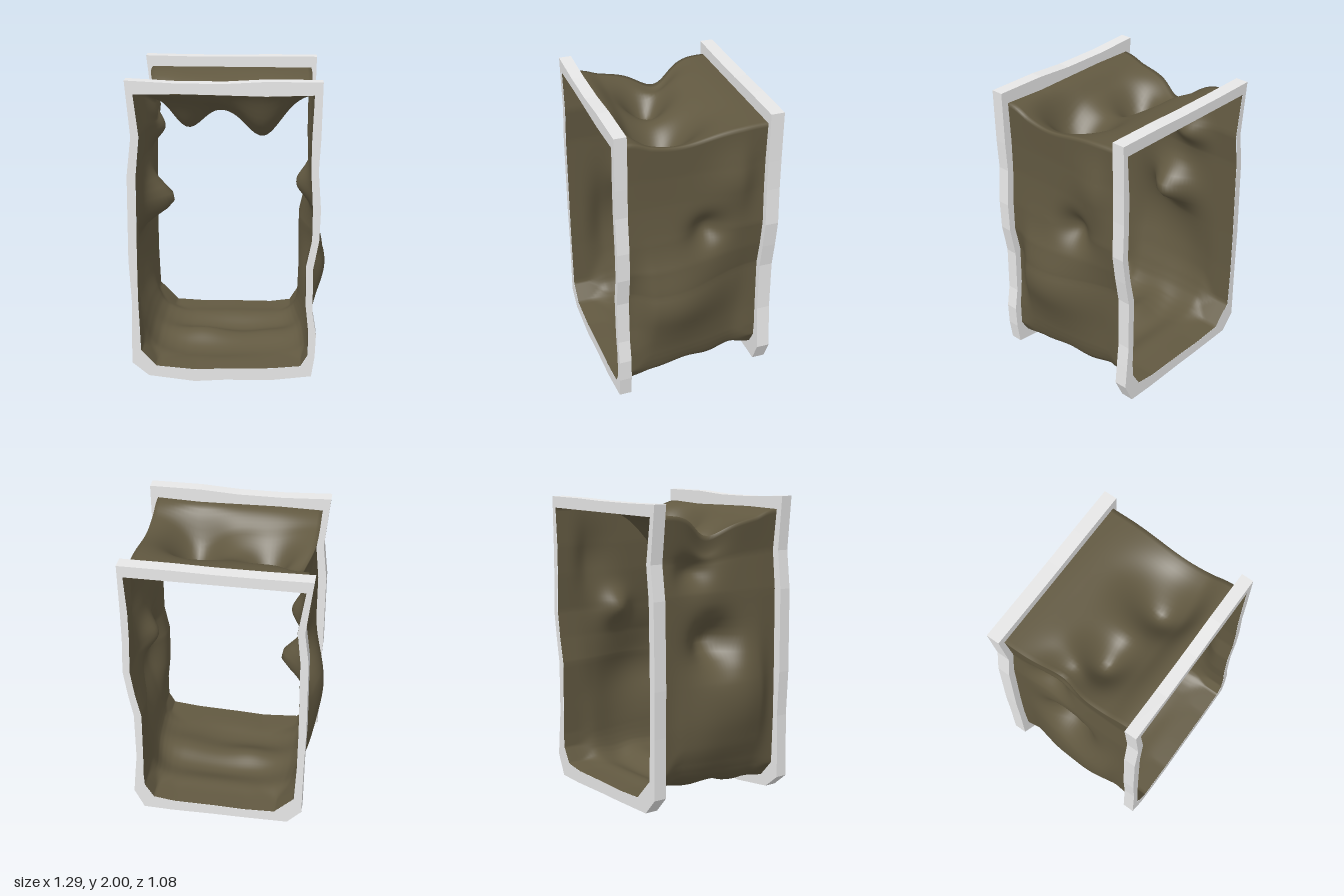
import * as THREE from 'three';

// Frame outlines, clockwise from the top -x corner: outer x, outer y, inner x, inner y
const FRONT = [
  [-0.61, 2, -0.56, 1.915], [-0.3, 1.985, -0.28, 1.92], [0, 1.985, 0, 1.915], [0.25, 2, 0.25, 1.91],
  [0.59, 2, 0.54, 1.92], [0.585, 1.65, 0.53, 1.65], [0.575, 1.45, 0.53, 1.45], [0.595, 1.2, 0.545, 1.2],
  [0.59, 1, 0.545, 1], [0.555, 0.8, 0.51, 0.82], [0.56, 0.5, 0.515, 0.55], [0.585, 0.35, 0.535, 0.37],
  [0.58, 0.2, 0.535, 0.21], [0.56, 0.06, 0.49, 0.13], [0.3, 0.025, 0.3, 0.11], [0, 0.02, 0, 0.1],
  [-0.2, 0.005, -0.2, 0.09], [-0.5, 0.04, -0.45, 0.11], [-0.61, 0.13, -0.55, 0.22],
  [-0.6, 0.55, -0.56, 0.55], [-0.615, 0.85, -0.56, 0.85], [-0.61, 1.4, -0.555, 1.4], [-0.58, 1.65, -0.53, 1.65],
];
const BACK = [
  [-0.6, 1.98, -0.555, 1.905], [-0.3, 1.975, -0.28, 1.905], [0, 1.975, 0, 1.905], [0.25, 1.98, 0.25, 1.905],
  [0.575, 1.98, 0.54, 1.905], [0.57, 1.65, 0.525, 1.65], [0.57, 1.45, 0.525, 1.45], [0.58, 1.2, 0.535, 1.2],
  [0.555, 1.02, 0.51, 1.02], [0.525, 0.85, 0.475, 0.85], [0.525, 0.5, 0.48, 0.5], [0.54, 0.35, 0.485, 0.35],
  [0.555, 0.19, 0.48, 0.25], [0.49, 0.05, 0.42, 0.15], [0.3, 0.045, 0.28, 0.13], [0, 0.05, 0, 0.13],
  [-0.2, 0.05, -0.2, 0.125], [-0.5, 0.055, -0.41, 0.135], [-0.595, 0.16, -0.54, 0.27],
  [-0.595, 0.55, -0.55, 0.55], [-0.6, 0.85, -0.55, 0.85], [-0.59, 1.4, -0.54, 1.4], [-0.56, 1.62, -0.515, 1.62],
];

// Soft dents and bulges: centre, spread, push in x and y
const DENTS = [
  { c: [0, 1.92, 0.14], s: [0.9, 0.12, 0.2], push: [0, -0.05] },         // ceiling sag
  { c: [0, 1.92, 0.09], s: [0.3, 0.15, 0.18], push: [0, -0.11] },
  { c: [-0.27, 1.92, 0.06], s: [0.1, 0.2, 0.1], push: [0, -0.19] },      // two deep ceiling dips
  { c: [0.23, 1.92, 0.16], s: [0.11, 0.2, 0.15], push: [0, -0.21] },
  { c: [-0.52, 1.86, -0.08], s: [0.1, 0.14, 0.1], push: [0.07, -0.12] }, // crushed corner
  { c: [-0.56, 1.08, -0.03], s: [0.2, 0.1, 0.11], push: [0.2, 0] },      // wall dents
  { c: [-0.54, 1.55, -0.18], s: [0.2, 0.07, 0.09], push: [0.08, 0] },
  { c: [0.54, 1.2, -0.08], s: [0.2, 0.08, 0.08], push: [-0.1, 0] },
  { c: [-0.56, 0.72, 0.18], s: [0.2, 0.24, 0.17], push: [-0.09, 0] },    // wall bulges
  { c: [-0.56, 0.6, -0.12], s: [0.2, 0.25, 0.14], push: [-0.05, 0] },
  { c: [0.52, 0.73, 0.13], s: [0.2, 0.2, 0.24], push: [0.14, 0] },
  { c: [0.53, 1.55, -0.28], s: [0.2, 0.15, 0.12], push: [0.05, 0] },
  { c: [0.47, 0.4, -0.3], s: [0.1, 0.3, 0.1], push: [-0.02, 0] },
  { c: [-0.1, 0.1, 0.2], s: [0.4, 0.1, 0.1], push: [0, -0.03] },         // floor ripples
  { c: [0.1, 0.1, -0.13], s: [0.35, 0.1, 0.09], push: [0, -0.05] },
  { c: [-0.17, 0.1, 0.02], s: [0.15, 0.1, 0.09], push: [0, 0.06] },
  { c: [0.3, 0.1, 0.05], s: [0.15, 0.1, 0.12], push: [0, 0.04] },
  { c: [0, 0.13, -0.3], s: [0.3, 0.1, 0.08], push: [0, 0.02] },
];

function frame(outline, z, depth, material, name) {
  const shape = new THREE.Shape(outline.map(p => new THREE.Vector2(p[0], p[1])));
  shape.holes.push(new THREE.Path(outline.map(p => new THREE.Vector2(p[2], p[3]))));
  const mesh = new THREE.Mesh(new THREE.ExtrudeGeometry(shape, { depth, bevelEnabled: false }), material);
  mesh.position.z = z;
  mesh.name = name;
  return mesh;
}

// Point on the inner edge of an outline; u counts corners
function innerPoint(outline, u) {
  const n = outline.length, i = Math.floor(u), f = u - i;
  const a = outline[(i + n) % n], b = outline[(i + 1 + n) % n];
  return [THREE.MathUtils.lerp(a[2], b[2], f), THREE.MathUtils.lerp(a[3], b[3], f)];
}

// The same edge with its lower corners rounded off by averaging neighbours
function roundedPoint(outline, u, amount) {
  const p = innerPoint(outline, u);
  const reach = 0.7 * amount * (1 - THREE.MathUtils.smoothstep(p[1], 0.3, 0.7));
  const sum = [0, 0];
  for (let k = -2; k <= 2; k++) {
    const q = innerPoint(outline, u + k * reach / 2);
    sum[0] += q[0] / 5;
    sum[1] += q[1] / 5;
  }
  return sum;
}

// Thin crumpled tube between the two frames
function sheetGeometry() {
  const sub = 10, around = FRONT.length * sub, along = 48, zFront = 0.534, zBack = -0.541;
  const positions = [], indices = [];
  for (let j = 0; j <= along; j++) {
    const z = THREE.MathUtils.lerp(zFront, zBack, j / along);
    const t = THREE.MathUtils.smoothstep(-z, -0.45, 0.46);
    const free = THREE.MathUtils.smoothstep(0.455 - Math.abs(z), 0, 0.17);
    for (let i = 0; i < around; i++) {
      const a = roundedPoint(FRONT, i / sub, free), b = roundedPoint(BACK, i / sub, free);
      const x = THREE.MathUtils.lerp(a[0], b[0], t), y = THREE.MathUtils.lerp(a[1], b[1], t);
      let px = x * 0.999, py = 1 + (y - 1) * 0.9994;
      for (const { c, s, push } of DENTS) {
        const d = ((x - c[0]) / s[0]) ** 2 + ((y - c[1]) / s[1]) ** 2 + ((z - c[2]) / s[2]) ** 2;
        const w = Math.exp(-d / 2) * free;
        px += push[0] * w;
        py += push[1] * w;
      }
      positions.push(px, py, z);
      if (j < along) {
        const n = (i + 1) % around, p = j * around + i, q = j * around + n;
        indices.push(p, q, p + around, q, q + around, p + around);
      }
    }
  }
  const geometry = new THREE.BufferGeometry();
  geometry.setAttribute('position', new THREE.Float32BufferAttribute(positions, 3));
  geometry.setIndex(indices);
  geometry.computeVertexNormals();
  return geometry;
}

export function createModel() {
  const frameGrey = new THREE.MeshStandardMaterial({ color: 0xe7e7e7 });
  frameGrey.name = 'frame grey';
  const sheetBrown = new THREE.MeshStandardMaterial({ color: 0x625941, side: THREE.DoubleSide });
  sheetBrown.name = 'sheet brown';

  const group = new THREE.Group();
  group.name = 'dentedDuct';
  const sheet = new THREE.Mesh(sheetGeometry(), sheetBrown);
  sheet.name = 'crumpledSheet';
  group.add(
    frame(FRONT, 0.455, 0.08, frameGrey, 'frontFrame'),
    frame(BACK, -0.542, 0.087, frameGrey, 'backFrame'),
    sheet,
  );
  return group;
}
